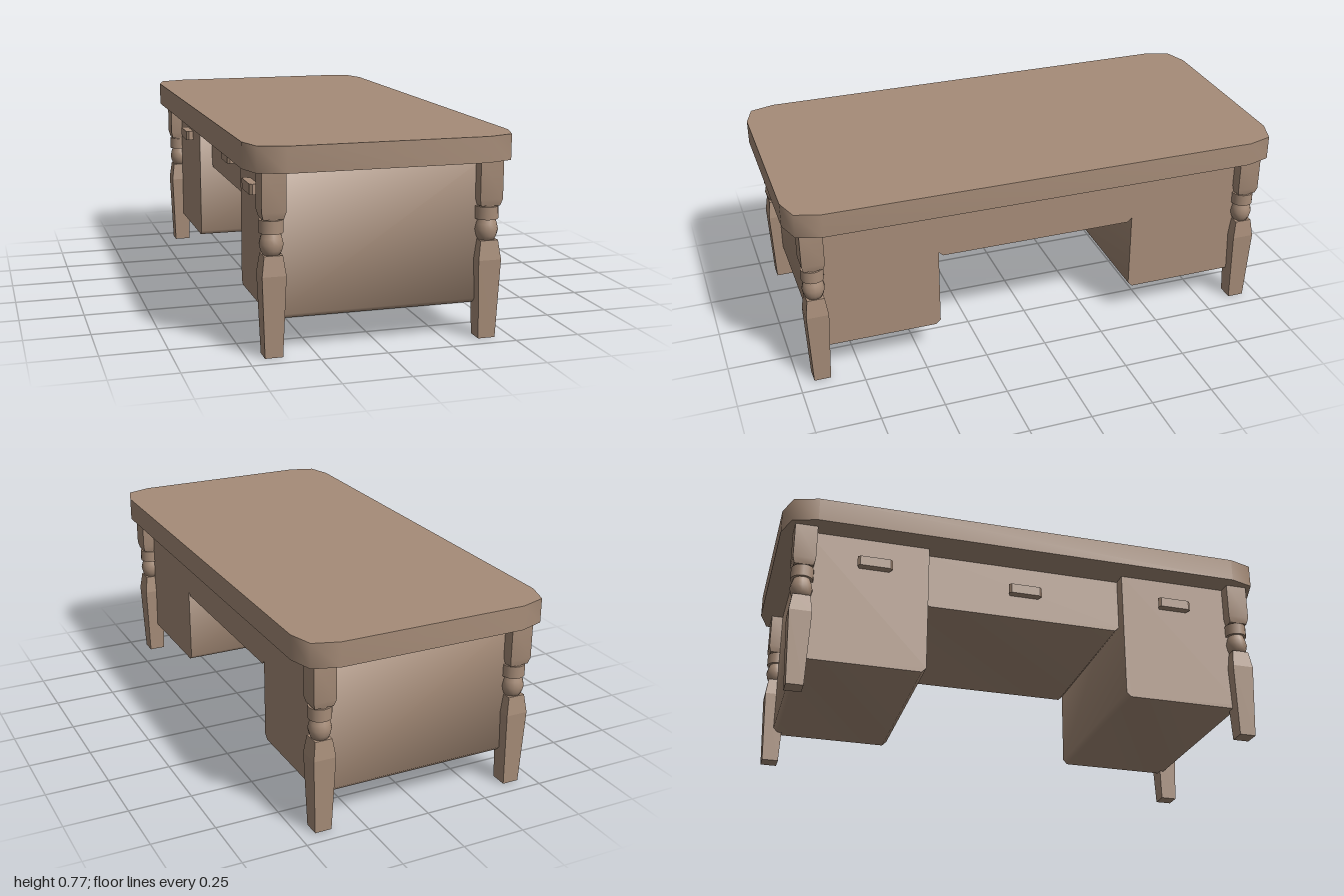
import * as THREE from 'three';
import { toCreasedNormals } from 'three/addons/utils/BufferGeometryUtils.js';

export function createModel() {
  const desk = new THREE.Group();
  desk.name = 'desk';
  const wood = new THREE.MeshStandardMaterial({ color: 0xa68c78 });
  wood.name = 'brown wood';

  const add = (parent, name, geometry) => {
    const mesh = new THREE.Mesh(geometry, wood);
    mesh.name = name;
    parent.add(mesh);
    return mesh;
  };
  const shapeOf = (pts) => new THREE.Shape(pts.map(([a, b]) => new THREE.Vector2(a, b)));

  // Tabletop: rectangle with two-step rounded corners
  const corner = [[0.5, 0.87], [0.47, 0.967], [0.37, 1]];
  const flip = (sx, sy) => corner.map(([x, y]) => [x * sx, y * sy]);
  const outline = [
    ...flip(1, 1), ...flip(-1, 1).reverse(),
    ...flip(-1, -1), ...flip(1, -1).reverse(),
  ];
  const top = new THREE.ExtrudeGeometry(shapeOf(outline), { depth: 0.095, bevelEnabled: false });
  top.rotateX(-Math.PI / 2).translate(0, 0.672, 0);
  add(desk, 'tabletop', toCreasedNormals(top, 1.1));

  // Cabinets: chamfered z-y section run across the desk from x0 to x1
  const cabinet = (name, z0, z1, y0, y1, x0, x1) => {
    const c = 0.018;
    const section = [
      [z0 + c, y0], [z1 - c, y0], [z1, y0 + c], [z1, y1 - c],
      [z1 - c, y1], [z0 + c, y1], [z0, y1 - c], [z0, y0 + c],
    ];
    const g = new THREE.ExtrudeGeometry(shapeOf(section), { depth: x1 - x0, bevelEnabled: false });
    g.rotateY(-Math.PI / 2).translate(x1, 0, 0);
    add(desk, name, toCreasedNormals(g, 0.9));
  };
  cabinet('frontPedestal', 0.41, 0.905, 0.127, 0.695, -0.4, 0.4);
  cabinet('backPedestal', -0.905, -0.41, 0.127, 0.695, -0.4, 0.4);
  cabinet('centreDrawer', -0.411, 0.411, 0.442, 0.695, -0.345, 0.4);

  // Drawer pulls on the sitting side, tapering outward
  const pull = (name, x, z) => {
    const s = shapeOf([[-0.06, 0], [0.06, 0], [0.07, 0.022], [0.06, 0.032], [-0.06, 0.032], [-0.07, 0.022]]);
    const g = new THREE.ExtrudeGeometry(s, { depth: 0.04, bevelEnabled: false });
    g.rotateX(-Math.PI / 2).rotateY(Math.PI / 2);
    add(desk, name, g).position.set(x, 0.54, z);
  };
  pull('frontDrawerPull', -0.4, 0.63);
  pull('backDrawerPull', -0.4, -0.63);
  pull('centreDrawerPull', -0.345, 0);

  // Legs: square sections are four-sided lathes, given half widths
  const turned = (pts, sides, phase = 0) =>
    new THREE.LatheGeometry(pts.map(([r, y]) => new THREE.Vector2(r, y)), sides, phase);
  const square = (pts, crease) =>
    toCreasedNormals(turned(pts.map(([r, y]) => [r * Math.SQRT2, y]), 4, Math.PI / 4), crease);

  const foot = square([[0, 0], [0.033, 0], [0.044, 0.3], [0.034, 0.372], [0, 0.372]], 0.05);
  const ball = turned([[0, 0.368], [0.031, 0.37], [0.039, 0.388], [0.044, 0.41], [0.039, 0.432], [0.032, 0.452]], 16);
  const ring = new THREE.CylinderGeometry(0.044, 0.044, 0.048, 16).translate(0, 0.474, 0);
  const neck = new THREE.CylinderGeometry(0.036, 0.036, 0.03, 16).translate(0, 0.502, 0);
  const block = square([[0, 0.502], [0.037, 0.502], [0.044, 0.527], [0.044, 0.68], [0, 0.68]], 0.6);

  for (const sx of [1, -1]) {
    for (const sz of [1, -1]) {
      const leg = new THREE.Group();
      leg.name = (sz > 0 ? 'front' : 'back') + (sx > 0 ? 'Left' : 'Right') + 'Leg';
      leg.position.set(0.406 * sx, 0, 0.908 * sz);
      add(leg, 'foot', foot);
      add(leg, 'ball', ball);
      add(leg, 'ring', ring);
      add(leg, 'neck', neck);
      add(leg, 'block', block);
      desk.add(leg);
    }
  }
  return desk;
}
